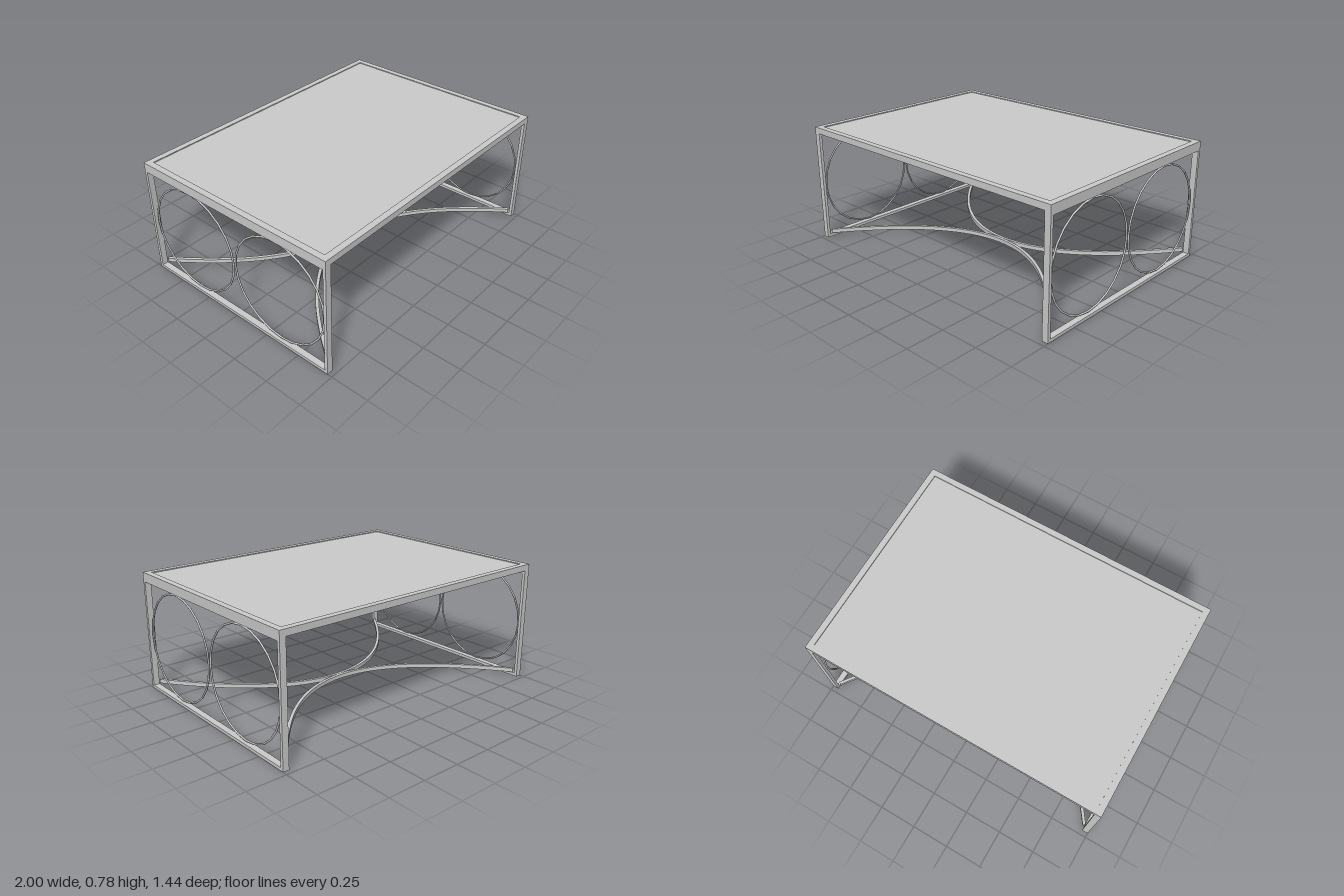
import * as THREE from 'three';
import { toCreasedNormals } from 'three/addons/utils/BufferGeometryUtils.js';

const W = 1, D = 0.72, H = 0.78; // half width, half depth, height

export function createModel() {
  const group = new THREE.Group();
  const material = new THREE.MeshStandardMaterial({ color: 0xcccccc });

  const add = (name, geometry, x = 0, y = 0, z = 0) => {
    const mesh = new THREE.Mesh(geometry, material);
    mesh.name = name;
    mesh.position.set(x, y, z);
    group.add(mesh);
    return mesh;
  };
  const box = (name, w, h, d, x, y, z) => add(name, new THREE.BoxGeometry(w, h, d), x, y, z);

  // Top panel, slightly recessed in the frame
  box('topPanel', 2 * W - 0.08, 0.02, 2 * D - 0.08, 0, H - 0.016, 0);

  // Low curved stretcher: a parabolic strip whose middle nearly touches its mirror
  const stretcherGeometry = () => {
    const n = 40, half = 0.01, inner = [], outer = [];
    for (let i = 0; i <= n; i++) {
      const x = -0.955 + 1.91 * i / n;
      const z = 0.011 + 0.68 * (x / 0.955) ** 2;
      const slope = 2 * 0.68 * x / 0.955 ** 2;
      const k = half / Math.hypot(1, slope);
      inner.push(new THREE.Vector2(x + slope * k, z - k));
      outer.push(new THREE.Vector2(x - slope * k, z + k));
    }
    const shape = new THREE.Shape([...inner, ...outer.reverse()]);
    const geometry = new THREE.ExtrudeGeometry(shape, { depth: 0.026, bevelEnabled: false });
    geometry.rotateX(Math.PI / 2);
    return toCreasedNormals(geometry, 0.6);
  };

  for (const s of [-1, 1]) {
    const side = s > 0 ? 'left' : 'right';
    const end = s > 0 ? 'front' : 'back';

    // Side frame: deep top rail, thin floor rail, two legs and two rings
    box(side + 'TopRail', 0.04, 0.06, 2 * D, s * (W - 0.02), H - 0.03, 0);
    box(side + 'FloorRail', 0.04, 0.02, 2 * D - 0.04, s * (W - 0.02), 0.01, 0);
    for (const t of [-1, 1]) {
      box(side + (t > 0 ? 'FrontLeg' : 'BackLeg'), 0.04, H - 0.06, 0.02,
        s * (W - 0.02), (H - 0.06) / 2, t * (D - 0.01));
      const ring = new THREE.TorusGeometry(0.339, 0.006, 8, 24);
      ring.rotateY(Math.PI / 2);
      add(side + (t > 0 ? 'FrontRing' : 'BackRing'), ring, s * (W - 0.02), 0.369, t * 0.348);
    }

    // Long top rail and curved stretcher
    box(end + 'TopRail', 2 * W - 0.08, 0.04, 0.04, 0, H - 0.02, s * (D - 0.02));
    const stretcher = add(end + 'Stretcher', stretcherGeometry(), 0, 0.056, 0);
    if (s < 0) stretcher.rotation.y = Math.PI;
  }
  return group;
}
